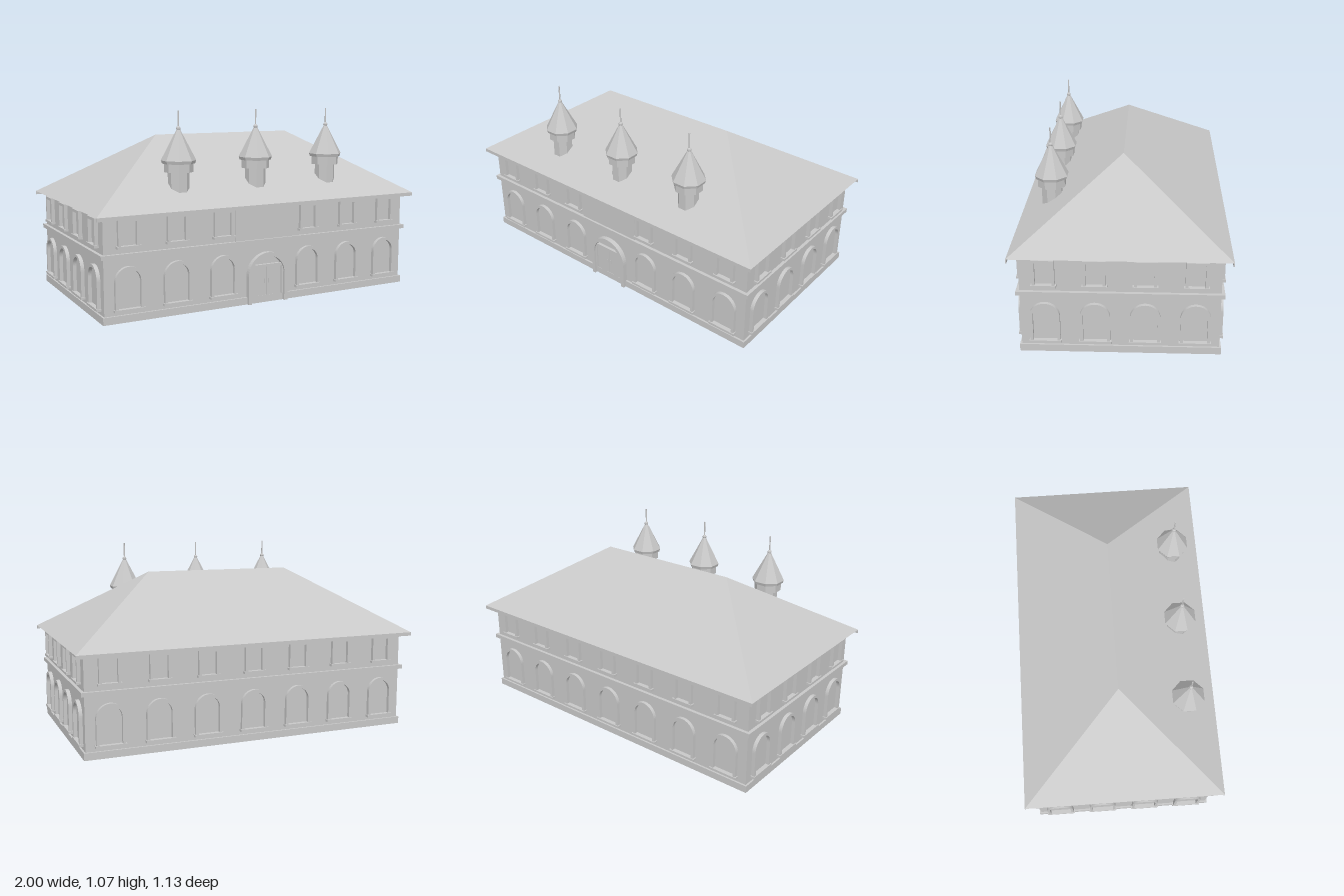
import * as THREE from 'three';

const stone = new THREE.MeshStandardMaterial({ color: 0xc8c8c8 });
stone.name = 'pale grey stone';
stone.flatShading = true;

function add(parent, name, geometry, x = 0, y = 0, z = 0) {
  const mesh = new THREE.Mesh(geometry, stone);
  mesh.name = name;
  mesh.position.set(x, y, z);
  parent.add(mesh);
  return mesh;
}

// Box given by its half width, vertical range and depth range
function block(parent, name, hw, y0, y1, z0, z1, x = 0) {
  return add(parent, name, new THREE.BoxGeometry(hw * 2, y1 - y0, z1 - z0), x, (y0 + y1) / 2, (z0 + z1) / 2);
}

// Upside-down U: an arch band standing on two legs
function archGeometry(outer, inner, y0, spring, depth) {
  const s = new THREE.Shape();
  s.moveTo(-outer, y0);
  s.lineTo(-inner, y0);
  s.lineTo(-inner, spring);
  s.absarc(0, spring, inner, Math.PI, 0, true);
  s.lineTo(inner, y0);
  s.lineTo(outer, y0);
  s.lineTo(outer, spring);
  s.absarc(0, spring, outer, 0, Math.PI, false);
  s.closePath();
  return new THREE.ExtrudeGeometry(s, { depth, bevelEnabled: false, curveSegments: 14 });
}

// Rectangular frame without a bottom rail
function squareGeometry(outer, inner, y0, yIn, yOut, depth) {
  const s = new THREE.Shape([
    [-outer, y0], [-inner, y0], [-inner, yIn], [inner, yIn],
    [inner, y0], [outer, y0], [outer, yOut], [-outer, yOut],
  ].reverse().map(p => new THREE.Vector2(...p)));
  return new THREE.ExtrudeGeometry(s, { depth, bevelEnabled: false });
}

const archFrame = archGeometry(0.078, 0.0625, 0.073, 0.215, 0.02);
const squareFrame = squareGeometry(0.058, 0.043, 0.4, 0.525, 0.54, 0.02);

function archedWindow(x) {
  const g = new THREE.Group();
  g.name = 'archedWindow';
  g.position.x = x;
  add(g, 'archFrame', archFrame);
  block(g, 'sill', 0.084, 0.06, 0.073, 0, 0.025);
  return g;
}

function upperWindow(x) {
  const g = new THREE.Group();
  g.name = 'upperWindow';
  g.position.x = x;
  add(g, 'windowFrame', squareFrame);
  block(g, 'sill', 0.065, 0.387, 0.4, 0, 0.025);
  return g;
}

// One wall's row of windows, turned to face outwards
function facade(name, columns, angle, distance, skipMiddle) {
  const g = new THREE.Group();
  g.name = name;
  g.rotation.y = angle;
  g.position.set(Math.sin(angle) * distance, 0, Math.cos(angle) * distance);
  for (const x of columns) {
    if (skipMiddle && x === 0) continue;
    g.add(archedWindow(x), upperWindow(x));
  }
  return g;
}

// Closed hipped roof: eave rectangle, ridge line and soffit
function roofGeometry(ex, ez, rx, y0, y1) {
  const a = [-ex, y0, ez], b = [ex, y0, ez], c = [ex, y0, -ez], d = [-ex, y0, -ez];
  const l = [-rx, y1, 0], r = [rx, y1, 0];
  const tris = [a, b, r, a, r, l, c, d, l, c, l, r, b, c, r, d, a, l, a, d, c, a, c, b];
  const geo = new THREE.BufferGeometry();
  geo.setAttribute('position', new THREE.Float32BufferAttribute(tris.flat(), 3));
  geo.computeVertexNormals();
  return geo;
}

// Eight-sided prism or cone with flat faces towards the axes, sized by apothem
function octagon(top, bottom, height) {
  const k = 1 / Math.cos(Math.PI / 8);
  return new THREE.CylinderGeometry(top * k, bottom * k, height, 8).rotateY(Math.PI / 8);
}

function turret(x) {
  const g = new THREE.Group();
  g.name = 'turret';
  g.position.set(x, 0, 0.39);
  add(g, 'shaft', octagon(0.054, 0.054, 0.145), 0, 0.6725);
  add(g, 'collar', octagon(0.073, 0.073, 0.047), 0, 0.7675);
  add(g, 'eave', octagon(0.087, 0.082, 0.017), 0, 0.7985);
  add(g, 'spire', octagon(0.007, 0.088, 0.168), 0, 0.891);
  add(g, 'ball', new THREE.SphereGeometry(0.012, 10, 8), 0, 0.977);
  add(g, 'finial', new THREE.CylinderGeometry(0.004, 0.004, 0.09, 8), 0, 1.027);
  return g;
}

function entrance() {
  const g = new THREE.Group();
  g.name = 'entrance';
  g.position.z = 0.515;
  add(g, 'doorArch', archGeometry(0.126, 0.105, 0, 0.16, 0.028));
  add(g, 'doorFrame', squareGeometry(0.103, 0.092, 0.04, 0.203, 0.217, 0.018));
  for (const side of [-1, 1]) {
    block(g, 'doorLeaf', 0.0445, 0.04, 0.203, 0, 0.01, side * 0.0465);
    block(g, 'doorHandle', 0.003, 0.11, 0.135, 0.01, 0.015, side * 0.012);
  }
  return g;
}

export function createModel() {
  const model = new THREE.Group();
  model.name = 'building';

  // Walls and horizontal bands
  block(model, 'walls', 0.952, 0, 0.56, -0.515, 0.515);
  block(model, 'plinth', 0.962, 0, 0.04, -0.526, 0.526);
  block(model, 'stringCourse', 0.97, 0.337, 0.36, -0.533, 0.533);
  block(model, 'frontPanel', 0.2, 0.36, 0.54, 0.515, 0.521);

  // Roof with boards along the front and back eaves
  add(model, 'roof', roofGeometry(1, 0.567, 0.44, 0.56, 0.921));
  block(model, 'frontFascia', 1, 0.54, 0.56, 0.561, 0.567);
  block(model, 'backFascia', 1, 0.54, 0.56, -0.567, -0.561);

  // Windows on all four walls
  const long = [-3, -2, -1, 0, 1, 2, 3].map(i => i * 0.273);
  const short = [-1.5, -0.5, 0.5, 1.5].map(i => i * 0.259);
  model.add(facade('frontWindows', long, 0, 0.515, true));
  model.add(facade('backWindows', long, Math.PI, 0.515, false));
  model.add(facade('leftWindows', short, Math.PI / 2, 0.952, false));
  model.add(facade('rightWindows', short, -Math.PI / 2, 0.952, false));

  model.add(entrance());
  for (const x of [-0.475, 0, 0.475]) model.add(turret(x));
  return model;
}
